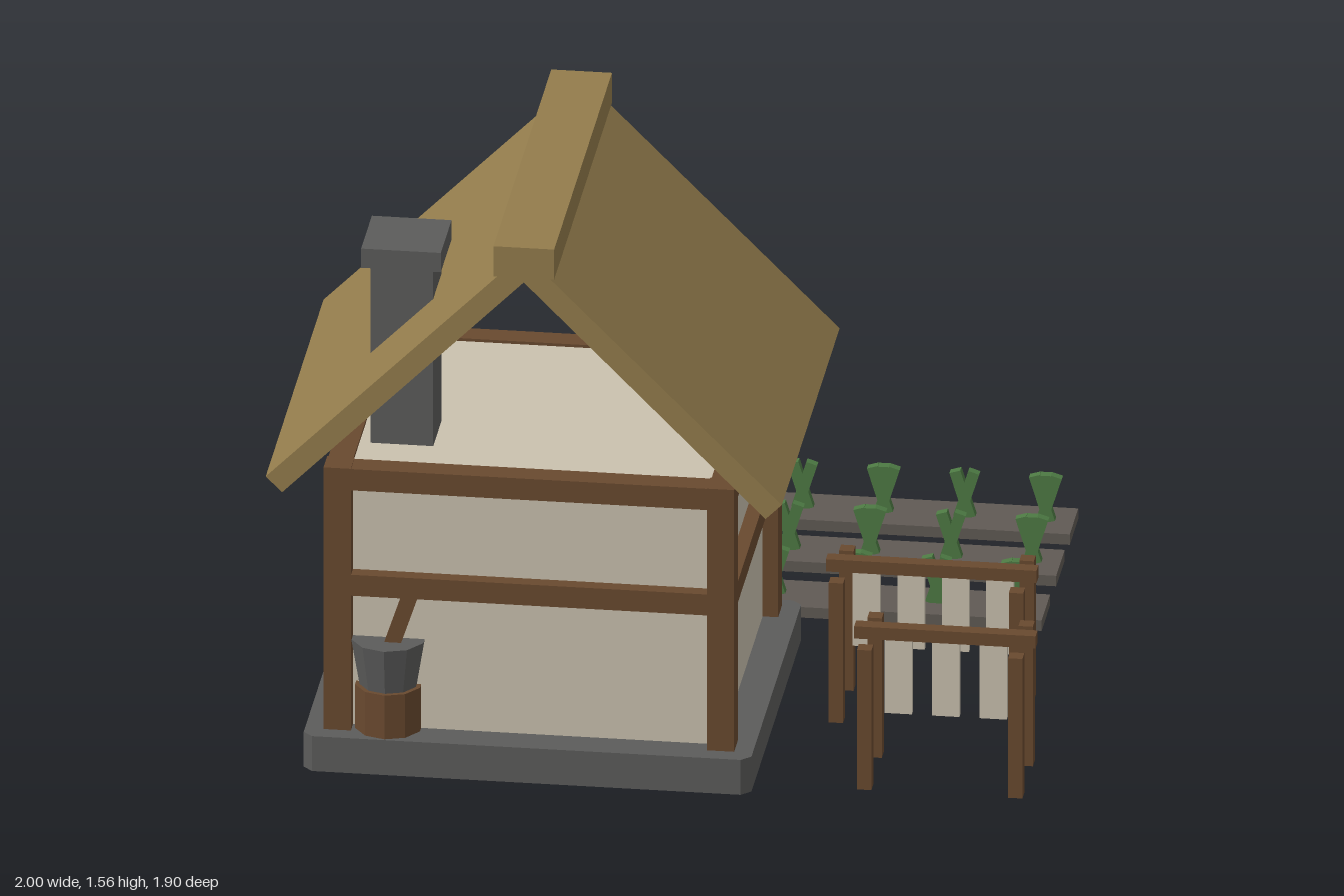
import * as THREE from 'three';

const mat = (name, color, extra = {}) => {
  const m = new THREE.MeshStandardMaterial({ color, flatShading: true, ...extra });
  m.name = name;
  return m;
};

export function createModel() {
  const root = new THREE.Group();
  root.name = 'cottage';
  const wood = mat('timber', 0x69492f);
  const stone = mat('stone', 0x5c5c5b);
  const soil = mat('soil', 0x605a54);
  const plaster = mat('plaster', 0xcac1ae);
  const thatch = mat('thatch', 0x937c4c);
  const leaf = mat('leaf', 0x4d7a43);

  const add = (name, geo, m, parent = root) => {
    const mesh = new THREE.Mesh(geo, m);
    mesh.name = name;
    parent.add(mesh);
    return mesh;
  };
  // Box given by its minimum and maximum corners
  const box = (name, m, x0, x1, y0, y1, z0, z1, parent = root) => {
    const b = add(name, new THREE.BoxGeometry(x1 - x0, y1 - y0, z1 - z0), m, parent);
    b.position.set((x0 + x1) / 2, (y0 + y1) / 2, (z0 + z1) / 2);
    return b;
  };
  const drum = (name, m, x, y0, y1, z, rTop, rBottom) => {
    const d = add(name, new THREE.CylinderGeometry(rTop, rBottom, y1 - y0, 10), m);
    d.position.set(x, (y0 + y1) / 2, z);
    return d;
  };
  const polygon = (pts) => new THREE.Shape(pts.map(([x, y]) => new THREE.Vector2(x, y)));
  const cx = -0.32, cz = 0.39;

  // Stone plinth with clipped corners
  const w = 0.59, d = 0.51, c = 0.025;
  const plinth = add('plinth', new THREE.ExtrudeGeometry(polygon([
    [-w + c, -d], [w - c, -d], [w, -d + c], [w, d - c], [w - c, d], [-w + c, d], [-w, d - c], [-w, -d + c],
  ]), { depth: 0.1, bevelEnabled: false }), stone);
  plinth.rotation.x = -Math.PI / 2;
  plinth.position.set(cx, 0, cz);

  // Plaster walls and timber frame
  box('walls', plaster, -0.82, 0.18, 0.1, 0.84, -0.04, 0.81);
  for (const sx of [-1, 1]) for (const sz of [-1, 1]) {
    const x = cx + sx * 0.505, z = 0.385 + sz * 0.43;
    box('cornerPost', wood, x - 0.036, x + 0.036, 0.1, 0.85, z - 0.036, z + 0.036);
  }
  for (const [y0, y1] of [[0.485, 0.545], [0.787, 0.848]]) {
    for (const s of [-1, 1]) {
      const z = 0.385 + s * 0.43, x = cx + s * 0.505;
      box('crossBeam', wood, -0.79, 0.15, y0, y1, z - 0.033, z + 0.033);
      box('sideBeam', wood, x - 0.033, x + 0.033, y0, y1, 0, 0.78);
    }
  }

  // Back door, lintel and shutter
  box('door', wood, -0.45, -0.19, 0.1, 0.54, -0.08, -0.03);
  box('doorLintel', wood, -0.48, -0.16, 0.53, 0.595, -0.092, -0.03);
  box('shutter', wood, -0.06, 0.14, 0.515, 0.665, -0.087, -0.03);

  // Thatched roof slopes, mirrored about the ridge
  for (const s of [-1, 1]) {
    const pts = [[0, 1.457], [0.637, 0.817], [0.68, 0.86], [0, 1.54]].map(([x, y]) => [cx + s * x, y]);
    const slope = add('roofSlope', new THREE.ExtrudeGeometry(polygon(pts),
      { depth: 1.13, bevelEnabled: false }), thatch);
    slope.position.z = -0.18;
  }
  box('ridgeCap', thatch, cx - 0.08, cx + 0.08, 1.47, 1.556, -0.18, 0.95);

  // Chimney
  box('chimney', stone, -0.763, -0.598, 0.84, 1.36, 0.493, 0.658);
  box('chimneyCap', stone, -0.785, -0.575, 1.35, 1.405, 0.47, 0.68);

  // Mortar on its block, with a leaning pestle
  drum('mortarBlock', wood, -0.695, 0.002, 0.225, 0.805, 0.09, 0.09);
  drum('mortar', stone, -0.695, 0.225, 0.355, 0.805, 0.1, 0.078);
  const pestle = add('pestle', new THREE.BoxGeometry(0.042, 0.24, 0.035), wood);
  pestle.position.set(-0.665, 0.4, 0.825);
  pestle.rotation.z = -0.32;

  // Barrels behind the house
  drum('barrel', wood, -0.717, 0, 0.245, -0.645, 0.1, 0.1);
  drum('barrel', wood, -0.68, 0, 0.245, -0.3, 0.1, 0.1);

  // Drying racks: bar, four posts and hanging cloths
  const rack = (x0, x1, z, cloths) => {
    const g = new THREE.Group();
    g.name = 'dryingRack';
    root.add(g);
    box('rackBar', wood, x0, x1, 0.385, 0.42, z - 0.019, z + 0.019, g);
    for (const x of [x0 + 0.04, x1 - 0.04]) for (const pz of [z - 0.103, z + 0.103])
      box('rackPost', wood, x - 0.019, x + 0.019, 0, 0.4, pz - 0.019, pz + 0.019, g);
    for (const x of cloths) box('cloth', plaster, x - 0.036, x + 0.036, 0.172, 0.39, z - 0.009, z + 0.009, g);
  };
  rack(0.39, 0.945, 0.292, [0.495, 0.613, 0.73, 0.847]);
  rack(0.52, 0.998, 0.703, [0.635, 0.76, 0.885]);

  // Garden beds with alternating three- and two-bladed plants
  for (const z of [-0.867, -0.602, -0.317]) {
    box('gardenBed', soil, -0.55, 0.885, 0, 0.03, z - 0.083, z + 0.083);
    for (let i = 0; i < 7; i++) {
      const plant = new THREE.Group();
      plant.name = 'plant';
      plant.position.set(-0.47 + i * 0.2135, 0.094, z);
      root.add(plant);
      for (const k of i % 2 ? [-1, 1] : [-1, 0, 1]) {
        const blade = add('leafBlade', new THREE.BoxGeometry(0.03, 0.135, 0.026 - Math.abs(k) * 0.002), leaf, plant);
        blade.position.x = k * (i % 2 ? 0.005 : 0.009);
        blade.rotation.z = -k * 0.3;
      }
    }
  }
  return root;
}
